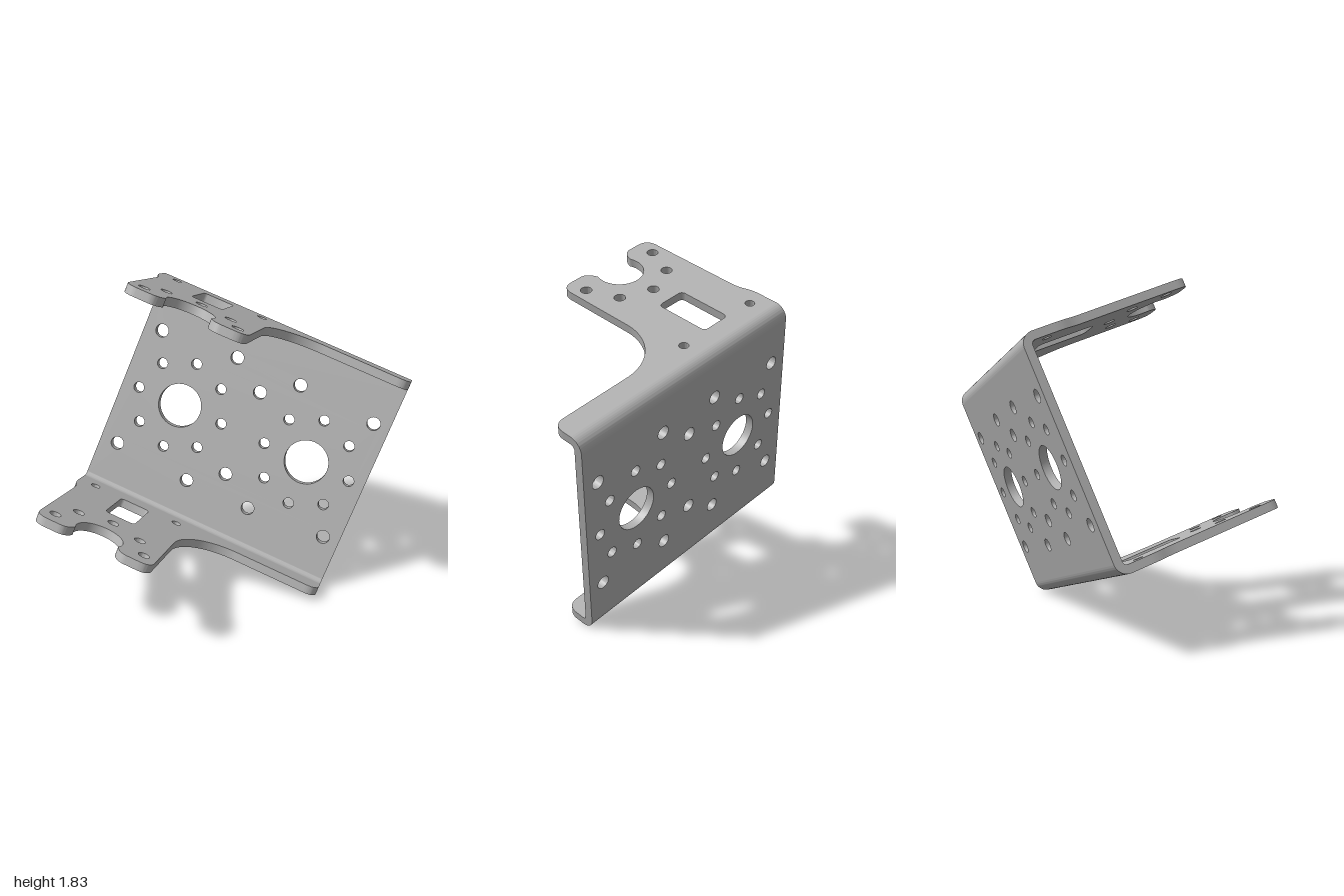
import * as THREE from 'three';
import { toCreasedNormals } from 'three/addons/utils/BufferGeometryUtils.js';

const T = 0.046;                      // sheet thickness
const R = 0.07;                       // outer bend radius
const X0 = -0.819, X1 = 0.614;        // plate ends
const LOW = 0.202, HIGH = 1.466;      // outer faces of the two arms
const BACK = 0.015;                   // outer face of the back plate
const ARM_X = -0.475;                 // centre line of the arms
const TIP = 0.975, NOTCH_Z = 0.866;

const steel = new THREE.MeshStandardMaterial({ color: 0xb2b2b2 });
steel.name = 'steel grey';

function addHole(shape, x, y, r) {
  const hole = new THREE.Path();
  hole.absarc(x, y, r, 0, Math.PI * 2, true);
  shape.holes.push(hole);
}

function sheet(name, shape, depth) {
  const flat = new THREE.ExtrudeGeometry(shape, { depth, bevelEnabled: false, curveSegments: 20 });
  const mesh = new THREE.Mesh(toCreasedNormals(flat, 0.6), steel);
  mesh.name = name;
  return mesh;
}

// Back plate with two bores, two bolt circles and the fixing holes
function backPlateShape() {
  const s = new THREE.Shape();
  s.moveTo(X0, LOW + R);
  s.lineTo(X1, LOW + R);
  s.lineTo(X1, HIGH - R);
  s.lineTo(X0, HIGH - R);
  s.closePath();
  const cx = -0.098, cy = 0.829;
  for (const side of [-1, 1]) {
    const bx = cx + side * 0.377;
    addHole(s, bx, cy, 0.12);
    for (let i = 0; i < 8; i++) {
      const a = i * Math.PI / 4;
      addHole(s, bx + 0.248 * Math.cos(a), cy + 0.248 * Math.sin(a), 0.029);
    }
    addHole(s, cx, cy + side * 0.246, 0.036);
    for (const up of [-1, 1]) {
      addHole(s, cx + side * 0.622, cy + up * 0.34, 0.036);
      addHole(s, cx + side * 0.185, cy + up * 0.37, 0.036);
    }
  }
  return s;
}

// Arm outline: foot, large fillet, two ears around a round notch, shoulder
function armShape() {
  const s = new THREE.Shape();
  const half = 0.315, right = ARM_X + half, left = ARM_X - half;
  const foot = 0.2, c = 0.07, fillet = 0.3, nr = 0.125, na = 0.35;
  const lipX = nr * Math.cos(na), lipZ = NOTCH_Z + nr * Math.sin(na);
  s.moveTo(X0, BACK + R);
  s.lineTo(X1, BACK + R);
  s.lineTo(X1, foot - c);
  s.quadraticCurveTo(X1, foot, X1 - c, foot);
  s.lineTo(right + fillet, foot);
  s.absarc(right + fillet, foot + fillet, fillet, Math.PI * 1.5, Math.PI, true);
  s.lineTo(right, TIP - c);
  s.quadraticCurveTo(right, TIP, right - c, TIP);
  s.lineTo(ARM_X + 0.185, TIP);
  s.quadraticCurveTo(ARM_X + 0.135, TIP, ARM_X + lipX, lipZ);
  s.absarc(ARM_X, NOTCH_Z, nr, na, Math.PI - na, true);
  s.quadraticCurveTo(ARM_X - 0.135, TIP, ARM_X - 0.185, TIP);
  s.lineTo(left + c, TIP);
  s.quadraticCurveTo(left, TIP, left, TIP - c);
  s.lineTo(left, 0.37);
  s.bezierCurveTo(left, 0.28, X0, 0.28, X0, 0.2);
  s.closePath();

  // Bolt holes around the notch and the rear pair
  for (let i = 0; i < 5; i++) {
    const a = Math.PI + i * Math.PI / 4;
    addHole(s, ARM_X + 0.245 * Math.cos(a), NOTCH_Z + 0.245 * Math.sin(a), 0.03);
  }
  for (const side of [-1, 1]) addHole(s, ARM_X + side * 0.246, 0.177, 0.025);

  // Rounded window
  const w = 0.084, z0 = 0.187, z1 = 0.5, r = 0.025;
  const win = new THREE.Path();
  win.absarc(ARM_X + w - r, z1 - r, r, 0, Math.PI / 2, false);
  win.absarc(ARM_X - w + r, z1 - r, r, Math.PI / 2, Math.PI, false);
  win.absarc(ARM_X - w + r, z0 + r, r, Math.PI, Math.PI * 1.5, false);
  win.absarc(ARM_X + w - r, z0 + r, r, Math.PI * 1.5, Math.PI * 2, false);
  win.closePath();
  s.holes.push(win);
  return s;
}

// Quarter-ring section of a fold
function bendShape(cy, from) {
  const s = new THREE.Shape();
  const to = from + Math.PI / 2;
  s.absarc(BACK + R, cy, R, from, to, false);
  s.absarc(BACK + R, cy, R - T, to, from, true);
  s.closePath();
  return s;
}

export function createModel() {
  const bracket = new THREE.Group();
  bracket.name = 'bracket';

  const plate = sheet('backPlate', backPlateShape(), T);
  plate.position.z = BACK;
  bracket.add(plate);

  for (const [name, top] of [['upperArm', HIGH], ['lowerArm', LOW + T]]) {
    const arm = sheet(name, armShape(), T);
    arm.rotation.x = Math.PI / 2;
    arm.position.y = top;
    bracket.add(arm);
  }

  for (const [name, cy, from] of [['upperBend', HIGH - R, Math.PI / 2], ['lowerBend', LOW + R, Math.PI]]) {
    const bend = sheet(name, bendShape(cy, from), X1 - X0);
    bend.rotation.y = -Math.PI / 2;
    bend.position.x = X1;
    bracket.add(bend);
  }

  // Tilt of the whole bracket: turned about its height, then leaned sideways
  const lean = THREE.MathUtils.degToRad(25), turn = THREE.MathUtils.degToRad(43.5);
  const along = new THREE.Vector3(Math.cos(lean), -Math.sin(lean), 0);
  const up = new THREE.Vector3(Math.sin(lean), Math.cos(lean), 0);
  const width = along.clone().multiplyScalar(Math.cos(turn)).add(new THREE.Vector3(0, 0, Math.sin(turn)));
  const reach = width.clone().cross(up);
  bracket.quaternion.setFromRotationMatrix(new THREE.Matrix4().makeBasis(width, up, reach));

  const model = new THREE.Group();
  model.name = 'tiltedBracket';
  model.add(bracket);
  return model;
}
